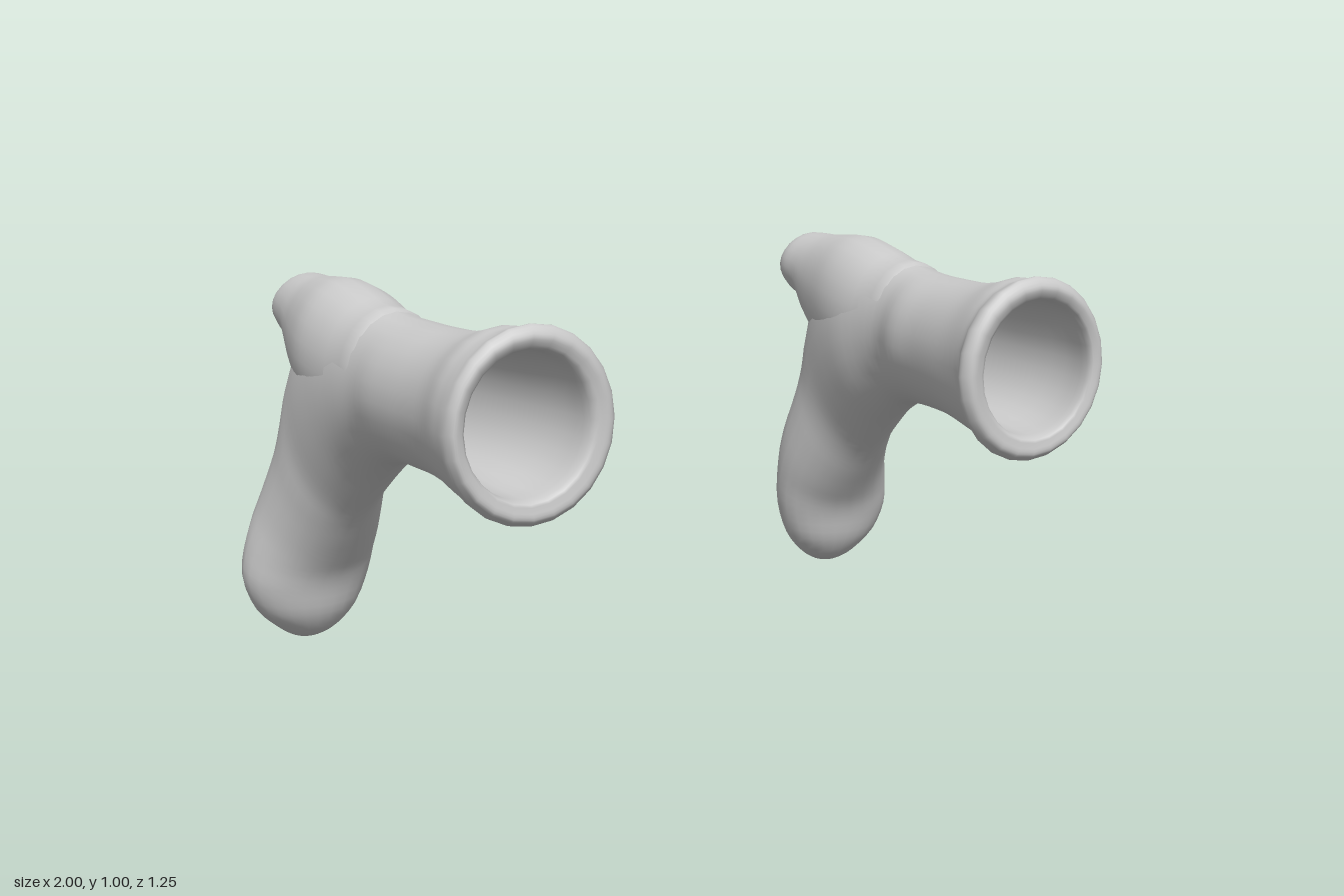
import * as THREE from 'three';

const SIDES = 24, STEPS = 3;
const material = new THREE.MeshStandardMaterial({ color: 0xcccccc, side: THREE.DoubleSide });

// Each ring: [lower z, lower y, upper z, upper y, min x, max x]
const upright = ([z, low, high, x0, x1]) => [z, low, z, high, x0, x1];

// Inside of the glove, from its closed end out to the opening
const lining = [
  [-0.40, 0.76, 0.76, 0.78, 0.78],
  [-0.37, 0.68, 0.85, 0.72, 0.84],
  [-0.25, 0.61, 0.92, 0.68, 0.88],
  [0.00, 0.61, 0.92, 0.66, 0.88],
  [0.30, 0.615, 0.925, 0.61, 0.88],
  [0.50, 0.60, 0.945, 0.57, 0.885],
  [0.595, 0.595, 0.95, 0.555, 0.88],
].map(upright);

// Rolled cuff lip
const lip = [
  [0.608, 0.575, 0.618, 0.97, 0.53, 0.895],
  [0.61, 0.553, 0.62, 0.99, 0.508, 0.912],
  [0.598, 0.54, 0.602, 1.01, 0.494, 0.922],
  [0.578, 0.533, 0.575, 1.003, 0.492, 0.926],
];

// Outside of the sleeve and wrist
const sleeve = [
  [0.54, 0.546, 0.995, 0.516, 0.923],
  [0.49, 0.555, 0.992, 0.535, 0.918],
  [0.40, 0.57, 0.966, 0.557, 0.903],
  [0.30, 0.585, 0.952, 0.575, 0.90],
  [0.20, 0.588, 0.947, 0.59, 0.905],
  [0.10, 0.588, 0.945, 0.598, 0.91],
  [0.00, 0.573, 0.95, 0.628, 0.906],
].map(upright);

// Palm turning down into the joined fingers
const fingers = [
  [-0.06, 0.55, -0.12, 0.965, 0.628, 0.915],
  [-0.13, 0.505, -0.25, 0.96, 0.62, 0.925],
  [-0.19, 0.455, -0.38, 0.90, 0.63, 0.93],
  [-0.25, 0.40, -0.465, 0.80, 0.645, 0.93],
  [-0.29, 0.355, -0.492, 0.69, 0.65, 0.936],
  [-0.33, 0.30, -0.515, 0.60, 0.645, 0.945],
  [-0.37, 0.245, -0.565, 0.48, 0.638, 0.965],
  [-0.40, 0.20, -0.603, 0.36, 0.64, 0.99],
  [-0.418, 0.155, -0.62, 0.22, 0.652, 1.0],
  [-0.435, 0.09, -0.612, 0.11, 0.685, 0.965],
  [-0.465, 0.04, -0.592, 0.045, 0.735, 0.905],
  [-0.50, 0.015, -0.56, 0.014, 0.78, 0.86],
  [-0.53, 0.005, -0.53, 0.005, 0.82, 0.82],
];

// Thumb growing out of the back of the hand
const thumb = [
  [0.02, 0.76, 0.02, 0.76, 0.77, 0.77],
  [0.00, 0.63, 0.00, 0.94, 0.65, 0.89],
  [-0.10, 0.61, -0.10, 0.963, 0.635, 0.91],
  [-0.20, 0.60, -0.20, 0.985, 0.626, 0.923],
  [-0.30, 0.62, -0.30, 0.998, 0.635, 0.925],
  [-0.41, 0.66, -0.39, 0.991, 0.658, 0.905],
  [-0.488, 0.715, -0.46, 0.983, 0.676, 0.885],
  [-0.53, 0.773, -0.52, 0.98, 0.685, 0.875],
  [-0.58, 0.80, -0.57, 0.975, 0.685, 0.87],
  [-0.612, 0.822, -0.60, 0.953, 0.697, 0.863],
  [-0.622, 0.845, -0.62, 0.92, 0.72, 0.84],
  [-0.624, 0.88, -0.624, 0.88, 0.78, 0.78],
];

// Skins smoothly interpolated elliptical rings; side = -1 mirrors the part
function loft(name, rings, side) {
  const lower = new THREE.CatmullRomCurve3(rings.map(r => new THREE.Vector3(r[4], r[1], r[0])), false, 'catmullrom');
  const upper = new THREE.CatmullRomCurve3(rings.map(r => new THREE.Vector3(r[5], r[3], r[2])), false, 'catmullrom');
  const count = (rings.length - 1) * STEPS;
  const positions = [], index = [];
  for (let i = 0; i <= count; i++) {
    const a = lower.getPoint(i / count), b = upper.getPoint(i / count);
    const mid = a.clone().add(b).multiplyScalar(0.5), half = b.clone().sub(a).multiplyScalar(0.5);
    for (let j = 0; j < SIDES; j++) {
      const angle = j / SIDES * Math.PI * 2, s = Math.sin(angle);
      positions.push(side * (mid.x + half.x * Math.cos(angle)), mid.y + half.y * s, mid.z + half.z * s);
      if (i === count) continue;
      const p = i * SIDES + j, q = i * SIDES + (j + 1) % SIDES;
      const n = p + SIDES, m = q + SIDES;
      if (side > 0) index.push(p, n, q, q, n, m);
      else index.push(p, q, n, q, m, n);
    }
  }
  const geometry = new THREE.BufferGeometry();
  geometry.setAttribute('position', new THREE.Float32BufferAttribute(positions, 3));
  geometry.setIndex(index);
  geometry.computeVertexNormals();
  const mesh = new THREE.Mesh(geometry, material);
  mesh.name = name;
  return mesh;
}

export function createModel() {
  const model = new THREE.Group();
  model.name = 'mittens';
  for (const [name, side] of [['leftMitten', 1], ['rightMitten', -1]]) {
    const mitten = new THREE.Group();
    mitten.name = name;
    mitten.add(
      loft('sleeveAndFingers', [...lining, ...lip, ...sleeve, ...fingers], side),
      loft('thumb', thumb, side),
    );
    model.add(mitten);
  }
  return model;
}
